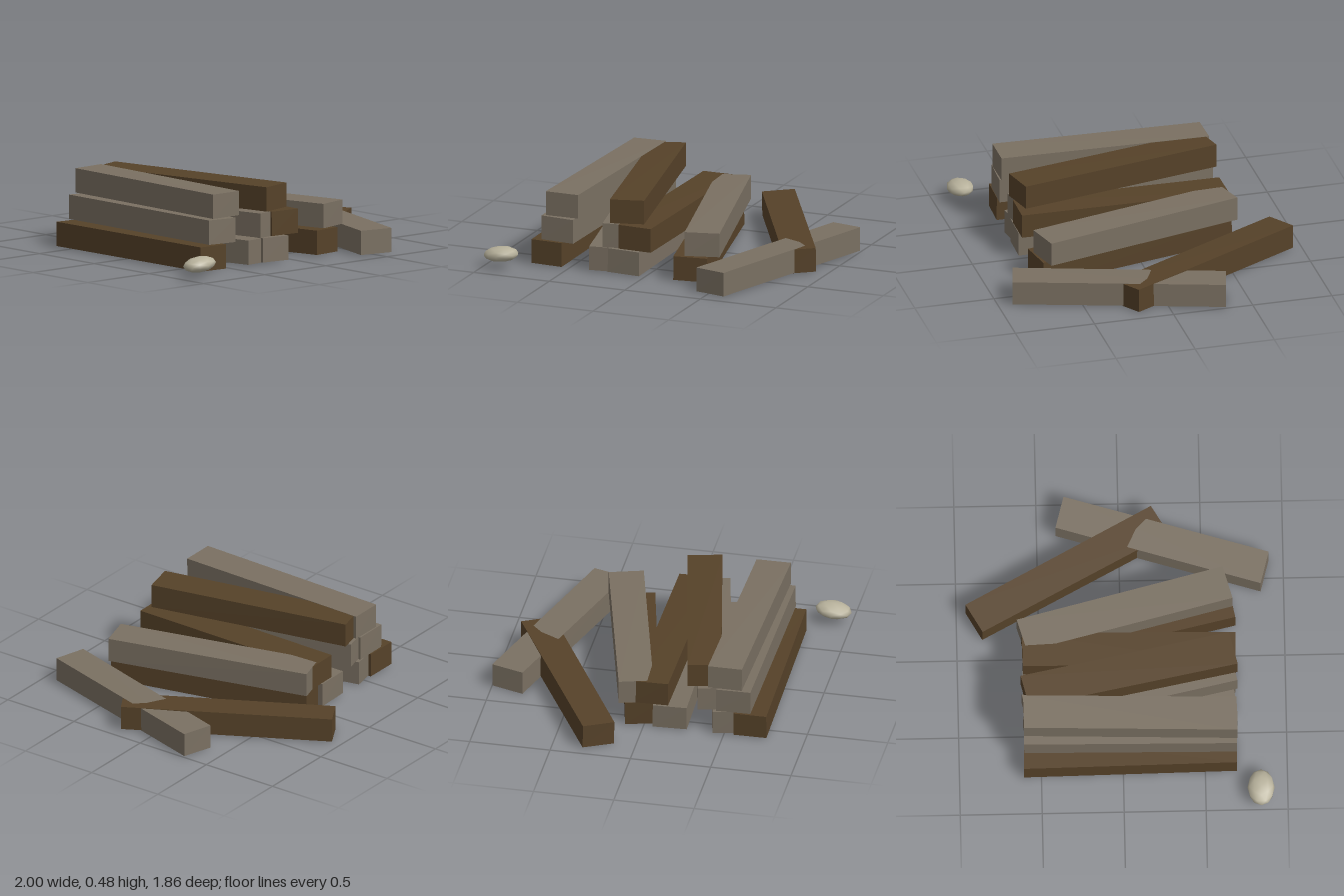
import * as THREE from 'three';

const brown = new THREE.MeshStandardMaterial({ name: 'brownWood', color: 0x564229 });
const grey = new THREE.MeshStandardMaterial({ name: 'weatheredWood', color: 0x7a7062 });
const pale = new THREE.MeshStandardMaterial({ name: 'paleStone', color: 0xb8b29c });

// Rough-sawn beam: a box whose eight corners are nudged a little
function beamGeometry(seed) {
  const geo = new THREE.BoxGeometry(0.206, 0.15, 1.3);
  const pos = geo.attributes.position;
  for (let i = 0; i < pos.count; i++) {
    const sx = Math.sign(pos.getX(i)), sy = Math.sign(pos.getY(i)), sz = Math.sign(pos.getZ(i));
    const corner = sx + 3 * sy + 9 * sz;
    const wobble = (k) => Math.sin(seed * 12.9 + corner * 7.3 + k * 4.1) * 0.005;
    pos.setXYZ(i, pos.getX(i) + wobble(1), pos.getY(i) + wobble(2) * 0.6, pos.getZ(i) + wobble(3));
  }
  const flat = geo.toNonIndexed();
  flat.computeVertexNormals();
  return flat;
}

export function createModel() {
  const group = new THREE.Group();
  const low = 0.08, mid = 0.239, high = 0.4;

  // name, material, x, y, z, yaw, roll
  const beams = [
    // bottom layer
    ['bottomBeam', brown, -0.652, low, 0.045, 0.012, 0],
    ['bottomBeam', grey, -0.395, low, 0.045, 0.21, 0],
    ['bottomBeam', grey, -0.148, low, 0.045, 0.02, 0],
    ['bottomBeam', brown, 0.155, low, 0.045, 0.225, 0],
    // middle layer
    ['middleBeam', grey, -0.565, mid, 0.045, -0.012, 0],
    ['middleBeam', grey, -0.305, mid, 0.045, 0.215, 0],
    ['middleBeam', brown, -0.055, mid, 0.045, -0.012, 0],
    ['middleBeam', grey, 0.205, mid, 0.025, 0.25, 0],
    // top layer
    ['topBeam', grey, -0.527, high, 0.045, -0.027, 0],
    ['topBeam', brown, -0.25, high, 0.045, 0.2, 0],
    // fallen beams beside the stack
    ['fallenBeam', grey, 0.704, low, 0.264, -0.298, 0],
    ['fallenBeam', brown, 0.528, low, -0.318, 0.495, 0.02],
  ];
  beams.forEach(([name, material, x, y, z, yaw, roll], i) => {
    const beam = new THREE.Mesh(beamGeometry(i + 1), material);
    beam.name = name + (i + 1);
    beam.position.set(x, y, z);
    beam.rotation.set(0, yaw, roll, 'YXZ');
    group.add(beam);
  });

  // Flattened pebble
  const stoneGeo = new THREE.IcosahedronGeometry(1, 1);
  stoneGeo.scale(0.113, 0.047, 0.083);
  const stone = new THREE.Mesh(stoneGeo, pale);
  stone.name = 'stone';
  stone.position.set(-0.887, 0.087, 0.837);
  stone.rotation.z = 0.1;
  group.add(stone);

  return group;
}
